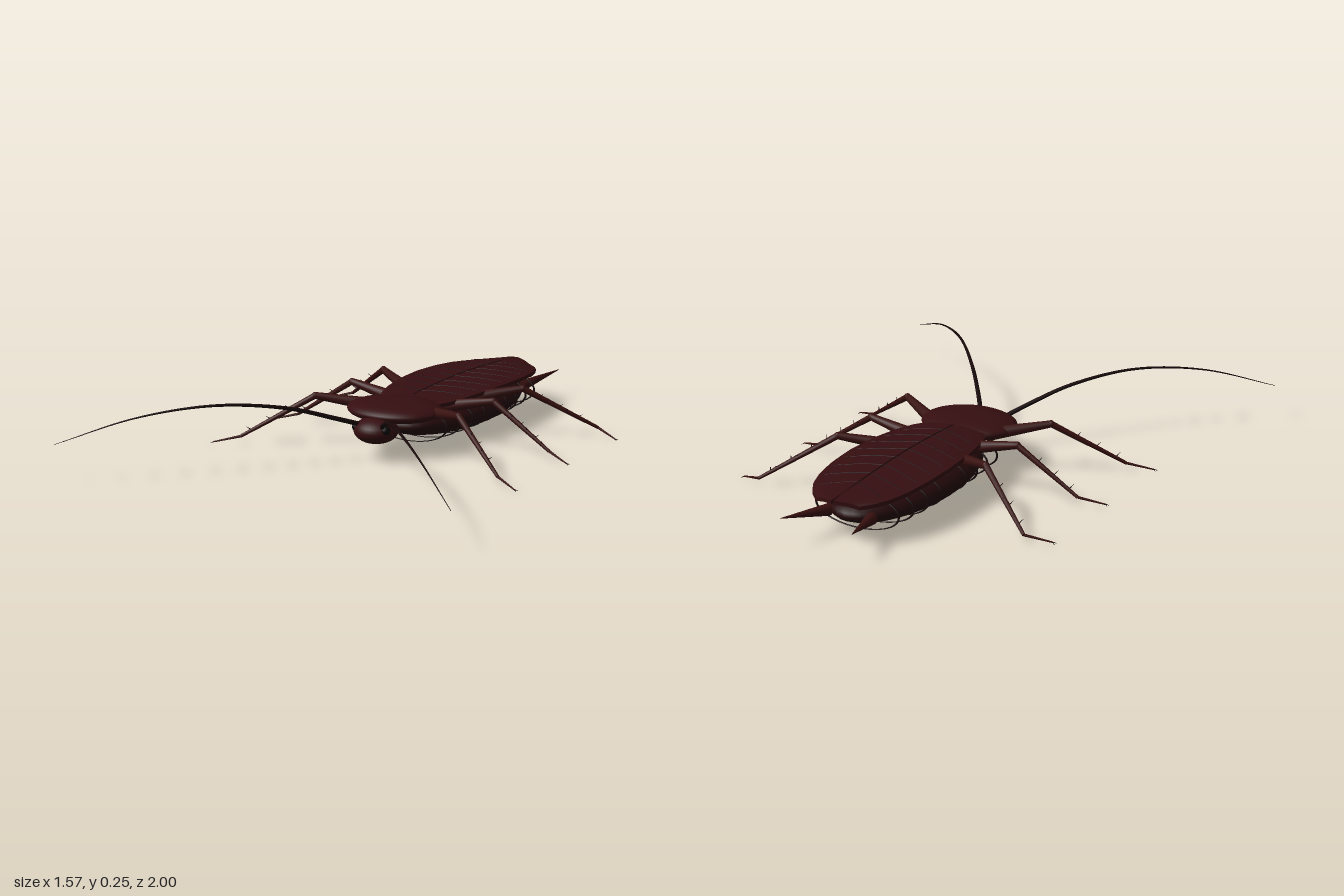
import * as THREE from 'three';

const mat = (name, color, side = THREE.FrontSide) => {
  const m = new THREE.MeshStandardMaterial({ color, side });
  m.name = name;
  return m;
};
const V = (x, y, z) => new THREE.Vector3(x, y, z);

// Wing half-width along its length: [z, half width]
const OUTLINE = [[-0.06, 0.11], [-0.12, 0.145], [-0.2, 0.168], [-0.32, 0.188], [-0.47, 0.198],
  [-0.6, 0.192], [-0.7, 0.178], [-0.78, 0.153], [-0.83, 0.122], [-0.865, 0.085]];
function wingWidth(z) {
  for (let i = 1; i < OUTLINE.length; i++) {
    const [z0, w0] = OUTLINE[i - 1], [z1, w1] = OUTLINE[i];
    if (z >= z1) return THREE.MathUtils.lerp(w0, w1, Math.max(0, (z - z0) / (z1 - z0)));
  }
  return OUTLINE[OUTLINE.length - 1][1];
}
// Upper surface of the wings: long shallow arch, drooping to the sides
const wingTop = (u, z) => 0.192 - 0.1 * (z + 0.38) ** 2 - 0.016 * u * u;

export function createModel() {
  const root = new THREE.Group();
  root.name = 'cockroach';
  const shell = mat('shell maroon', 0x350e10);
  const belly = mat('belly dark brown', 0x260a0b);
  const legMat = mat('leg brown', 0x38110f);
  const dark = mat('dark line', 0x170708);
  const eyeMat = mat('eye black', 0x0a0505);

  const add = (geo, m, name, parent = root) => {
    const mesh = new THREE.Mesh(geo, m);
    mesh.name = name;
    parent.add(mesh);
    return mesh;
  };
  const ellipsoid = (name, m, c, r, seg = 32) => {
    const mesh = add(new THREE.SphereGeometry(1, seg, seg / 2), m, name);
    mesh.position.set(...c);
    mesh.scale.set(...r);
    return mesh;
  };
  const limb = (name, m, a, b, ra, rb, parent, sides = 10) => {
    const d = b.clone().sub(a);
    const mesh = add(new THREE.CylinderGeometry(rb, ra, d.length(), sides), m, name, parent);
    mesh.position.copy(a).addScaledVector(d, 0.5);
    mesh.quaternion.setFromUnitVectors(V(0, 1, 0), d.normalize());
    return mesh;
  };
  const taperedTube = (points, r0, r1, seg = 40, sides = 8) => {
    const curve = new THREE.CatmullRomCurve3(points);
    const geo = new THREE.TubeGeometry(curve, seg, r0, sides);
    const p = geo.attributes.position, v = V(0, 0, 0);
    for (let i = 0; i < p.count; i++) {
      const t = Math.floor(i / (sides + 1)) / seg;
      const c = curve.getPointAt(t);
      v.fromBufferAttribute(p, i).sub(c).multiplyScalar(1 + (r1 / r0 - 1) * t).add(c);
      p.setXYZ(i, v.x, v.y, v.z);
    }
    return geo;
  };

  // Body
  ellipsoid('abdomen', belly, [0, 0.086, -0.407], [0.187, 0.076, 0.422], 40);
  ellipsoid('pronotum', shell, [0, 0.157, 0.025], [0.182, 0.04, 0.15], 40);
  ellipsoid('head', shell, [0, 0.108, 0.157], [0.082, 0.048, 0.079]);

  // Abdomen segment rings
  for (let i = 0; i < 9; i++) {
    const z = -0.065 - 0.085 * i;
    const k = 1 - 0.1 * ((z + 0.405) / 0.34) ** 2;
    const ring = add(new THREE.TorusGeometry(1, 0.025, 6, 48), dark, 'segmentRing');
    ring.position.set(0, 0.086, z);
    ring.scale.set(0.183 * k, 0.075 * k, 0.16);
  }

  // Central seam between the wings
  const seam = [];
  for (let i = 0; i <= 8; i++) seam.push(V(0, wingTop(0, -0.1 - 0.09 * i) - 0.001, -0.1 - 0.09 * i));
  add(taperedTube(seam, 0.003, 0.003), dark, 'wingSeam');

  // Joints of each leg: hip, knee, ankle, foot
  const LEGS = {
    frontLeg: [[0.1, 0.145, -0.03], [0.3, 0.183, 0.09], [0.535, 0.03, 0.232], [0.625, 0.007, 0.277]],
    middleLeg: [[0.1, 0.14, -0.165], [0.3, 0.183, -0.165], [0.535, 0.03, -0.155], [0.625, 0.007, -0.115]],
    backLeg: [[0.1, 0.14, -0.275], [0.3, 0.183, -0.392], [0.535, 0.03, -0.55], [0.625, 0.007, -0.51]],
  };

  for (const s of [1, -1]) {
    const side = s > 0 ? 'left' : 'right';

    // Wing: a thin plate shaped by the outline and the arch
    const geo = new THREE.BoxGeometry(1, 1, 1, 10, 1, 40);
    const p = geo.attributes.position;
    for (let i = 0; i < p.count; i++) {
      const u = p.getX(i) + 0.5, t = 0.5 - p.getZ(i);
      const z = -0.06 - t * 0.805;
      const gap = 0.0005 + 0.004 * Math.max(0, (t - 0.92) / 0.08);
      const tip = -0.035 * (1 - u) * Math.max(0, (t - 0.8) / 0.2);
      p.setXYZ(i, gap + u * (wingWidth(z) - gap), wingTop(u, z) - (p.getY(i) < 0 ? 0.014 : 0), z + tip);
    }
    geo.computeVertexNormals();
    add(geo, shell, side + 'Wing').scale.x = s;

    // Slanting wing veins
    for (let i = 0; i < 8; i++) {
      const pts = [0.02, 0.3, 0.6, 0.88].map((u) => {
        const z = -0.16 - 0.082 * i - 0.065 * u;
        return V(s * u * wingWidth(z), wingTop(u, z), z);
      });
      add(taperedTube(pts, 0.0025, 0.0015, 12, 6), dark, side + 'WingVein');
    }

    // Legs with spines and claws
    for (const [name, joints] of Object.entries(LEGS)) {
      const leg = new THREE.Group();
      leg.name = side + name[0].toUpperCase() + name.slice(1);
      root.add(leg);
      const [hip, knee, ankle, foot] = joints.map(([x, y, z]) => V(s * x, y, z));
      limb('femur', legMat, hip, knee, 0.026, 0.013, leg);
      const joint = add(new THREE.SphereGeometry(0.0135, 12, 8), legMat, 'knee', leg);
      joint.position.copy(knee);
      limb('tibia', legMat, knee, ankle, 0.012, 0.006, leg);
      limb('tarsus', legMat, ankle, foot, 0.005, 0.0025, leg, 8);
      for (let i = 0; i < 6; i++) {
        const a = knee.clone().lerp(ankle, 0.2 + 0.13 * i);
        const b = a.clone().add(V(s * 0.012, i % 2 ? 0.016 : 0.004, i % 2 ? 0.018 : -0.02));
        limb('spine', dark, a, b, 0.0025, 0.0004, leg, 5);
      }
      for (const k of [-1, 1]) {
        limb('claw', dark, foot, foot.clone().add(V(s * 0.009, -0.004, k * 0.008)), 0.002, 0.0005, leg, 5);
      }
    }

    // Tail feelers
    limb(side + 'Cercus', legMat, V(s * 0.085, 0.083, -0.79), V(s * 0.14, 0.113, -1), 0.022, 0.001, root, 12);

    // Eye and antenna
    ellipsoid(side + 'Eye', eyeMat, [s * 0.06, 0.12, 0.19], [0.017, 0.018, 0.02], 16);
    add(taperedTube([V(s * 0.045, 0.13, 0.19), V(s * 0.1, 0.163, 0.272), V(s * 0.21, 0.218, 0.42),
      V(s * 0.375, 0.249, 0.62), V(s * 0.57, 0.222, 0.815), V(s * 0.785, 0.14, 1)],
    0.009, 0.0009, 60), dark, side + 'Antenna');
  }
  return root;
}
